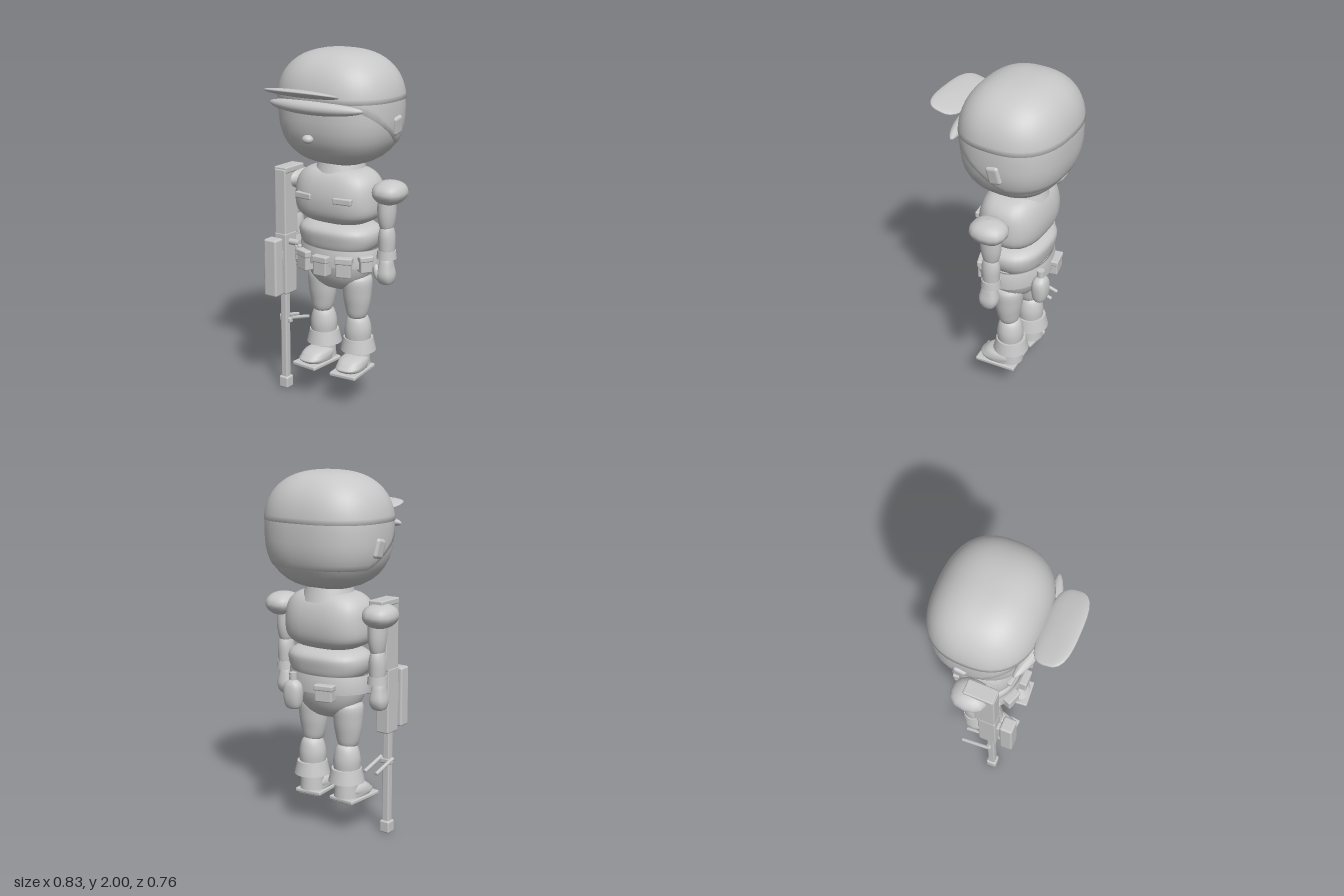
import * as THREE from 'three';
import { RoundedBoxGeometry } from 'three/addons/geometries/RoundedBoxGeometry.js';

const grey = new THREE.MeshStandardMaterial({ color: 0xc8c8c8 });
grey.name = 'plain grey';

// Closed-around surface: fn(u, angle) gives a point, u runs from bottom (0) to top (1)
function grid(rings, segs, fn) {
  const pos = [], idx = [];
  for (let i = 0; i <= rings; i++)
    for (let j = 0; j < segs; j++) pos.push(...fn(i / rings, (j / segs) * Math.PI * 2, i));
  for (let i = 0; i < rings; i++)
    for (let j = 0; j < segs; j++) {
      const a = i * segs + j, b = i * segs + (j + 1) % segs, c = a + segs, d = b + segs;
      idx.push(a, c, b, b, c, d);
    }
  const g = new THREE.BufferGeometry();
  g.setAttribute('position', new THREE.Float32BufferAttribute(pos, 3));
  g.setIndex(idx);
  g.computeVertexNormals();
  return g;
}

const spow = (v, p) => Math.sign(v) * Math.abs(v) ** p;

// Smooth body from cross-sections [y, halfX, halfZ, centreZ]; n sets how boxy they are
function loft(sections, n = 2, segs = 28) {
  const rx = new THREE.CatmullRomCurve3(sections.map(s => new THREE.Vector3(s[1], s[0], s[2])));
  const cz = new THREE.CatmullRomCurve3(sections.map(s => new THREE.Vector3(s[3] || 0, 0, 0)));
  return grid((sections.length - 1) * 4, segs, (u, t) => {
    const p = rx.getPoint(u), z = cz.getPoint(u).x;
    return [Math.max(p.x, 0.001) * spow(Math.cos(t), 2 / n), p.y,
      z + Math.max(p.z, 0.001) * spow(Math.sin(t), 2 / n)];
  });
}

// Boxy ellipsoid of the head, cut off below at a height given by cut(z)
const H = { y: 1.68, z: -0.085, a: 0.35, b: 0.32, c: 0.295, n: 2.5 };
function headShell(scale, cut) {
  const e = 2 / H.n;
  return grid(20, 48, (u, t, i) => {
    const dx = Math.cos(t), dz = Math.sin(t);
    const k = (Math.abs(dx / H.a) ** H.n + Math.abs(dz / H.c) ** H.n) ** (-1 / H.n);
    let low = -Math.PI / 2;
    if (cut) {
      const h = THREE.MathUtils.clamp((cut(H.z + dz * k) - H.y) / (H.b * scale), -1, 1);
      low = Math.asin(spow(h, 1 / e));
    }
    const phi = THREE.MathUtils.lerp(low, Math.PI / 2, Math.max(0, (i - 1) / 19));
    const s = cut && i === 0 ? scale * 0.95 : scale;
    const r = k * s * Math.max(0.0005, Math.cos(phi)) ** e;
    return [dx * r, H.y + H.b * scale * spow(Math.sin(phi), e), H.z + dz * r];
  });
}

export function createModel() {
  const model = new THREE.Group();
  model.name = 'toySoldier';

  const add = (name, geo, x = 0, y = 0, z = 0, parent = model) => {
    const m = new THREE.Mesh(geo, grey);
    m.name = name;
    m.position.set(x, y, z);
    parent.add(m);
    return m;
  };
  const box = (w, h, d, r = 0.008) => new RoundedBoxGeometry(w, h, d, 2, r);
  const ball = (a, b, c) => new THREE.SphereGeometry(1, 28, 18).scale(a, b, c);

  // Head, hair and helmet
  add('head', headShell(0.97));
  add('hair', headShell(0.985, z => THREE.MathUtils.clamp(1.7 + (z - 0.14) * 0.667, 1.5, 1.76)));
  add('helmet', headShell(1, () => 1.74));
  add('nose', ball(0.032, 0.024, 0.028), 0, 1.55, 0.228);
  for (const s of [1, -1]) {
    const ear = add(s > 0 ? 'leftEar' : 'rightEar', box(0.04, 0.105, 0.075, 0.018), s * 0.333, 1.61, -0.115);
    ear.rotation.set(0.2, 0, -s * 0.12);
  }

  // Upper peak tilts up, lower one bends around the forehead
  const peak = new THREE.SphereGeometry(1, 32, 16);
  const pp = peak.attributes.position;
  for (let i = 0; i < pp.count; i++) {
    const x = pp.getX(i), z = pp.getZ(i), r = Math.hypot(x, z) || 1;
    const k = r / ((Math.abs(x / 1) ** 3 + Math.abs(z) ** 3) ** (1 / 3) || 1);
    pp.setXYZ(i, x * k * 0.213, pp.getY(i) * 0.02, z * k * 0.1);
  }
  peak.computeVertexNormals();
  add('helmetPeak', peak, 0, 1.797, 0.285).rotation.x = -0.23;
  const brow = ball(0.3, 0.037, 0.045);
  const bp = brow.attributes.position;
  for (let i = 0; i < bp.count; i++) bp.setZ(i, bp.getZ(i) - 0.5 * bp.getX(i) ** 2);
  brow.computeVertexNormals();
  add('browBand', brow, 0, 1.713, 0.203);

  // Torso
  add('neck', new THREE.CylinderGeometry(0.12, 0.15, 0.1, 28), 0, 1.36, -0.085);
  add('chest', loft([[1.04, 0, 0], [1.06, 0.18, 0.13], [1.11, 0.245, 0.17], [1.2, 0.253, 0.18],
    [1.29, 0.235, 0.16], [1.345, 0.175, 0.12], [1.365, 0, 0]], 2.7), 0, 0, -0.075);
  add('belly', loft([[0.88, 0, 0], [0.9, 0.2, 0.15], [0.96, 0.235, 0.17], [1.01, 0.232, 0.172],
    [1.045, 0.18, 0.13], [1.06, 0, 0]], 2.5), 0, 0, -0.08);
  add('hips', loft([[0.648, 0, 0], [0.665, 0.09, 0.07], [0.72, 0.165, 0.12], [0.81, 0.205, 0.15],
    [0.9, 0.2, 0.15], [0.92, 0, 0]], 2.2), 0, 0, -0.075);
  for (const s of [1, -1]) {
    const pocket = add('chestPocket', box(0.11, 0.036, 0.03), s * 0.127, 1.202, 0.09);
    pocket.rotation.y = s * 0.12;
  }

  // Belt with pouches and canteen
  const belt = new THREE.LatheGeometry([[0.96, 0.82], [1.02, 0.82], [0.98, 0.915], [0.92, 0.915], [0.96, 0.82]]
    .map(p => new THREE.Vector2(...p)), 36);
  add('belt', belt.scale(0.248, 1, 0.178), 0, 0, -0.08).material = grey;
  const pouch = (x, y, z, turn, w = 0.085, h = 0.11) => {
    const g = new THREE.Group();
    g.name = 'pouch';
    g.position.set(x, y, z);
    g.rotation.y = turn;
    add('pouchBody', box(w, h, 0.06), 0, 0, 0, g);
    add('pouchFlap', box(w + 0.012, h * 0.35, 0.068), 0, h * 0.36, 0, g);
    model.add(g);
  };
  pouch(0, 0.825, 0.1, 0);
  pouch(0.13, 0.83, 0.075, 0.35);
  pouch(-0.13, 0.83, 0.075, -0.35);
  pouch(0.215, 0.845, 0.0, 1.0, 0.07, 0.09);
  pouch(-0.215, 0.845, 0.0, -1.0, 0.07, 0.09);
  pouch(-0.09, 0.83, -0.25, Math.PI + 0.2, 0.1, 0.09);
  add('canteen', loft([[0.715, 0, 0], [0.725, 0.04, 0.03], [0.78, 0.054, 0.045], [0.85, 0.05, 0.04],
    [0.88, 0.018, 0.018], [0.89, 0, 0]], 2.4), 0.11, 0, -0.27);
  add('canteenCap', new THREE.CylinderGeometry(0.021, 0.021, 0.04, 16), 0.11, 0.9, -0.27);

  for (const s of [1, -1]) {
    // Arms
    const arm = new THREE.Group();
    arm.name = s > 0 ? 'leftArm' : 'rightArm';
    arm.position.set(s * 0.308, 0, -0.075);
    model.add(arm);
    const pad = loft([[1.185, 0, 0], [1.195, 0.055, 0.065], [1.24, 0.09, 0.104], [1.275, 0.085, 0.098],
      [1.305, 0.055, 0.06], [1.318, 0, 0]], 2.4, 14);
    add('shoulderPad', pad, s * 0.016, 0, 0, arm);
    add('upperArm', loft([[1.03, 0, 0], [1.04, 0.03, 0.035], [1.1, 0.046, 0.055], [1.18, 0.05, 0.058],
      [1.24, 0.045, 0.05], [1.26, 0, 0]]), -s * 0.002, 0, 0, arm);
    add('forearm', loft([[0.88, 0, 0], [0.89, 0.036, 0.04], [0.96, 0.046, 0.05], [1.02, 0.043, 0.05],
      [1.06, 0.03, 0.035], [1.07, 0, 0]]), 0, 0, 0, arm);
    add('cuff', new THREE.CylinderGeometry(0.051, 0.056, 0.045, 24), 0, 0.9, 0, arm);
    add('hand', loft([[0.73, 0, 0], [0.738, 0.035, 0.035], [0.78, 0.048, 0.055], [0.83, 0.04, 0.048],
      [0.88, 0.028, 0.03], [0.89, 0, 0]], 2.6, 16), s * 0.005, 0, 0.01, arm);
    add('thumb', ball(0.02, 0.045, 0.024), -s * 0.035, 0.8, 0.04, arm).rotation.z = s * 0.2;

    // Legs
    const leg = new THREE.Group();
    leg.name = s > 0 ? 'leftLeg' : 'rightLeg';
    leg.position.set(s * 0.118, 0, -0.085);
    model.add(leg);
    add('thigh', loft([[0.485, 0, 0], [0.5, 0.05, 0.05], [0.57, 0.073, 0.068], [0.65, 0.083, 0.08],
      [0.74, 0.08, 0.08], [0.76, 0, 0]]), 0, 0, 0.01, leg);
    add('shin', loft([[0.3, 0, 0], [0.31, 0.06, 0.06], [0.38, 0.075, 0.075], [0.44, 0.075, 0.074],
      [0.5, 0.053, 0.055], [0.52, 0, 0]]), 0, 0, 0, leg);
    add('bootCuff', new THREE.CylinderGeometry(0.085, 0.102, 0.075, 28), 0, 0.335, -0.005, leg);
    add('ankle', new THREE.CylinderGeometry(0.062, 0.07, 0.1, 24), 0, 0.26, -0.005, leg);
    const foot = new THREE.Group();
    foot.name = 'boot';
    foot.rotation.y = s * 0.08;
    leg.add(foot);
    add('bootUpper', loft([[0.195, 0, 0, 0.055], [0.2, 0.07, 0.1, 0.055], [0.235, 0.077, 0.108, 0.055],
      [0.265, 0.066, 0.085, 0.04], [0.285, 0, 0, 0.02]], 2.6), 0, 0, 0, foot);
    add('bootSole', box(0.165, 0.024, 0.245), 0, 0.193, 0.064, foot);
    add('bootHeel', box(0.13, 0.014, 0.09, 0.005), 0, 0.181, -0.005, foot);
  }

  // Long gun standing muzzle down beside the right arm
  const gun = new THREE.Group();
  gun.name = 'gun';
  gun.position.set(-0.31, 0, 0.03);
  model.add(gun);
  add('muzzle', box(0.062, 0.07, 0.062, 0.01), 0, 0.035, 0, gun);
  add('barrel', box(0.042, 0.56, 0.042), 0, 0.34, 0, gun);
  add('receiver', box(0.08, 0.36, 0.105), 0, 0.77, -0.01, gun);
  add('magazine', box(0.085, 0.335, 0.075, 0.012), 0, 0.767, 0.105, gun);
  add('magazineMount', box(0.045, 0.1, 0.05), 0, 0.8, 0.05, gun);
  add('stock', box(0.075, 0.38, 0.12), 0, 1.13, -0.02, gun);
  add('buttPlate', box(0.085, 0.035, 0.17), 0, 1.315, -0.05, gun);
  add('boltKnob', new THREE.CylinderGeometry(0.018, 0.018, 0.07, 16), 0.07, 0.9, 0, gun).rotation.z = Math.PI / 2;
  add('bipodMount', box(0.08, 0.03, 0.03), 0, 0.42, -0.01, gun);
  for (const s of [1, -1]) {
    const rod = add('bipodLeg', new THREE.CylinderGeometry(0.011, 0.011, 0.17, 12), s * 0.037, 0.415, -0.09, gun);
    rod.rotation.x = Math.PI / 2 - 0.25;
  }
  return model;
}
